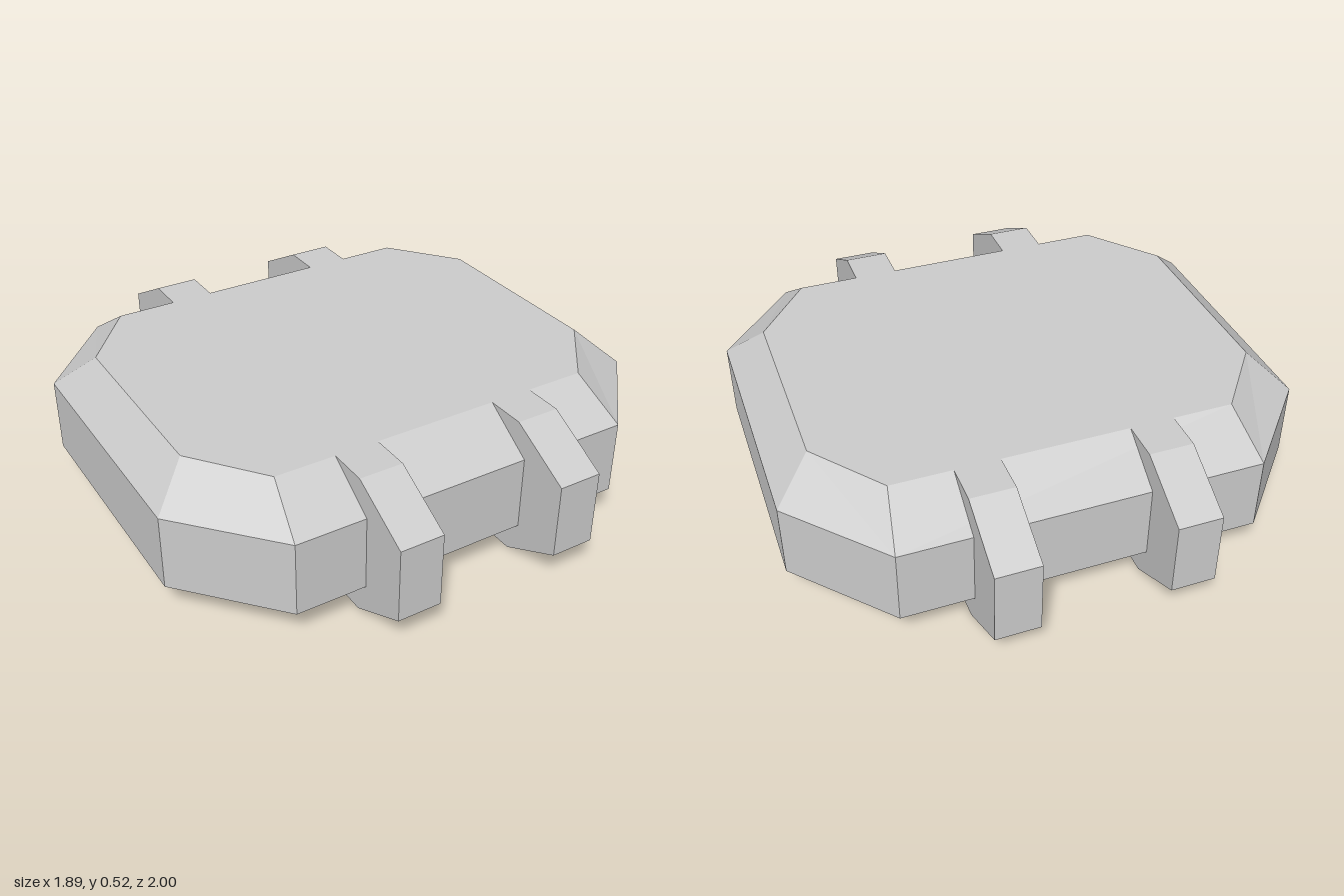
import * as THREE from 'three';

const material = new THREE.MeshStandardMaterial({ color: 0xcccccc, flatShading: true });

// Octagon with corners (ax, az) on the sides and (bx, bz) on the front and back
function octagon(ax, az, bx, bz, y) {
  return [[ax, az], [ax, -az], [bx, -bz], [-bx, -bz], [-ax, -az], [-ax, az], [-bx, bz], [bx, bz]]
    .map(([x, z]) => [x, y, z]);
}

// Closed solid lofted through stacked octagons
function bodyGeometry(rings) {
  const pos = [];
  const tri = (...points) => points.forEach((p) => pos.push(...p));
  for (let k = 0; k < rings.length - 1; k++) {
    for (let i = 0; i < 8; i++) {
      const j = (i + 1) % 8;
      const a = rings[k][i], b = rings[k][j], c = rings[k + 1][j], d = rings[k + 1][i];
      // Corner bevels fold symmetrically
      if ((i % 4 === 1) !== (k === 0)) { tri(a, b, d); tri(b, c, d); }
      else { tri(a, b, c); tri(a, c, d); }
    }
  }
  const bottom = rings[0], top = rings[rings.length - 1];
  for (let i = 1; i < 7; i++) {
    tri(top[0], top[i], top[i + 1]);
    tri(bottom[0], bottom[i + 1], bottom[i]);
  }
  const geometry = new THREE.BufferGeometry();
  geometry.setAttribute('position', new THREE.Float32BufferAttribute(pos, 3));
  geometry.computeVertexNormals();
  return geometry;
}

export function createModel() {
  const group = new THREE.Group();

  // Bevelled octagonal body
  const body = new THREE.Mesh(bodyGeometry([
    octagon(0.81, 0.365, 0.61, 0.62, 0),
    octagon(0.945, 0.475, 0.645, 0.81, 0.125),
    octagon(0.945, 0.475, 0.645, 0.81, 0.4),
    octagon(0.81, 0.365, 0.61, 0.62, 0.525),
  ]), material);
  body.name = 'body';
  group.add(body);

  // Four bevelled lugs, two on the front and two on the back
  const profile = new THREE.Shape([
    [0.62, 0], [0.765, 0], [1, 0.125], [1, 0.4], [0.765, 0.525], [0.62, 0.525],
  ].map(([z, y]) => new THREE.Vector2(z, y)));
  const lugGeometry = new THREE.ExtrudeGeometry(profile, { depth: 0.16, bevelEnabled: false });
  lugGeometry.translate(0, 0, -0.08).rotateY(-Math.PI / 2);
  for (const front of [true, false]) {
    for (const side of [1, -1]) {
      const lug = new THREE.Mesh(lugGeometry, material);
      lug.name = (front ? 'front' : 'back') + (side > 0 ? 'Left' : 'Right') + 'Lug';
      lug.position.x = side * 0.31;
      lug.rotation.y = front ? 0 : Math.PI;
      group.add(lug);
    }
  }
  return group;
}
